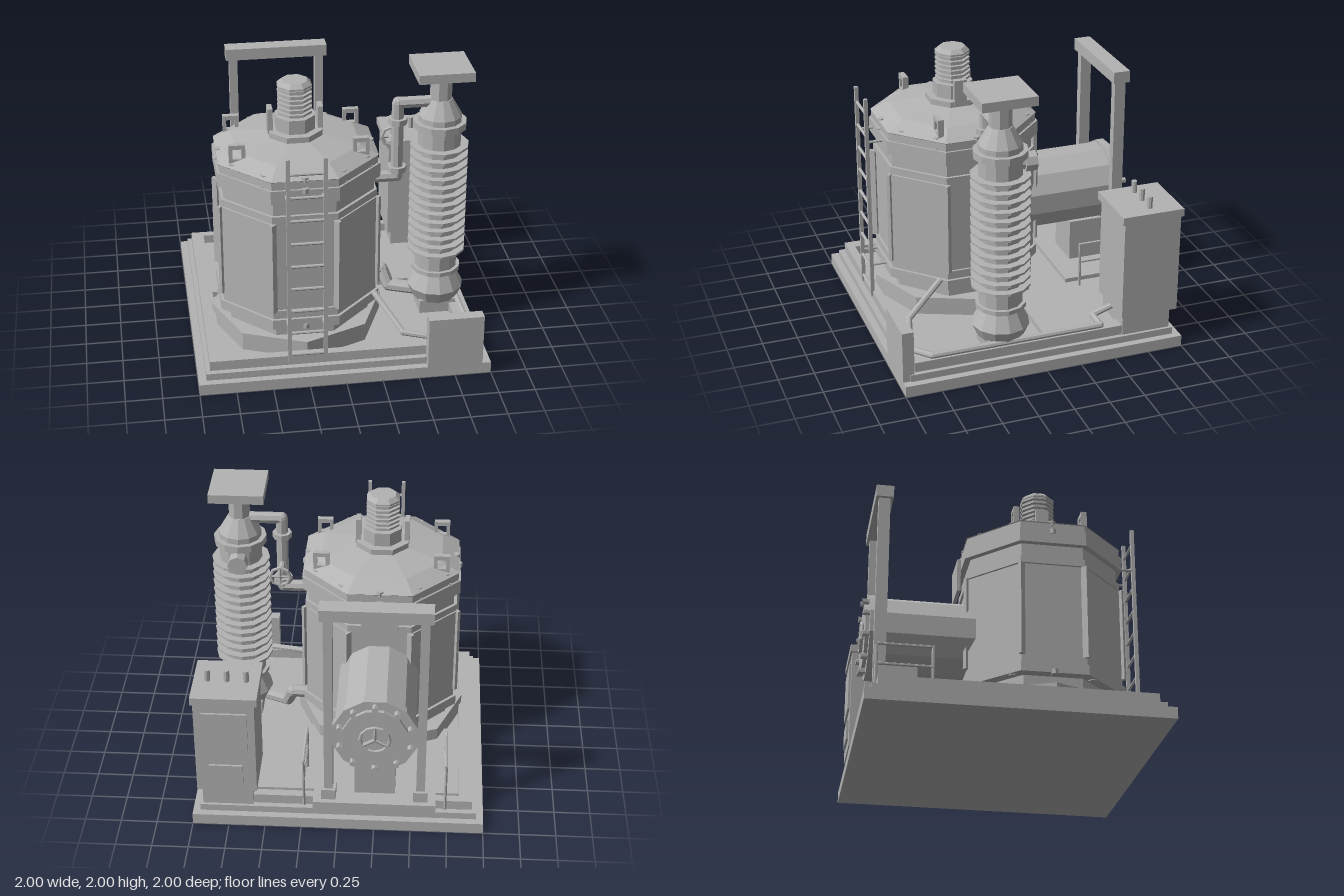
import * as THREE from 'three';

const grey = new THREE.MeshStandardMaterial({ color: 0xb3b3b3, flatShading: true });
grey.name = 'machineGrey';

export function createModel() {
  const root = new THREE.Group();
  root.name = 'transformerStation';

  // ---- helpers ----
  const group = (name, x = 0, y = 0, z = 0) => {
    const g = new THREE.Group();
    g.name = name;
    g.position.set(x, y, z);
    root.add(g);
    return g;
  };
  const mesh = (parent, name, geo, x = 0, y = 0, z = 0) => {
    const m = new THREE.Mesh(geo, grey);
    m.name = name;
    m.position.set(x, y, z);
    parent.add(m);
    return m;
  };
  // box from its min and max on each axis
  const box = (parent, name, x0, x1, y0, y1, z0, z1) =>
    mesh(parent, name, new THREE.BoxGeometry(x1 - x0, y1 - y0, z1 - z0), (x0 + x1) / 2, (y0 + y1) / 2, (z0 + z1) / 2);
  // faceted turned solid; flat = true puts face centres on the axes
  const turned = (parent, name, profile, sides, flat) => {
    const k = flat ? 1 / Math.cos(Math.PI / sides) : 1;
    const pts = profile.map(([r, y]) => new THREE.Vector2(r * k, y));
    return mesh(parent, name, new THREE.LatheGeometry(pts, sides, flat ? Math.PI / sides : 0));
  };
  // straight bar between two points
  const bar = (parent, name, a, b, r, sides = 8) => {
    const p = new THREE.Vector3(...a), q = new THREE.Vector3(...b);
    const d = q.clone().sub(p);
    const m = mesh(parent, name, new THREE.CylinderGeometry(r, r, d.length(), sides));
    m.position.copy(p).addScaledVector(d, 0.5);
    m.quaternion.setFromUnitVectors(new THREE.Vector3(0, 1, 0), d.normalize());
    return m;
  };
  // pipe with mitred corners
  const pipe = (parent, name, pts, r) => {
    for (let i = 1; i < pts.length; i++) {
      bar(parent, name, pts[i - 1], pts[i], r);
      if (i > 1) mesh(parent, name + 'Joint', new THREE.SphereGeometry(r, 8, 6), ...pts[i - 1]);
    }
  };

  // ---- stepped base with raised rim ----
  const base = group('base');
  box(base, 'slab', -1, 1, 0, 0.08, -1, 1);
  box(base, 'step', -0.95, 0.95, 0.08, 0.13, -0.95, 0.95);
  for (const s of [-1, 1]) {
    mesh(base, 'sideRim', new THREE.BoxGeometry(0.09, 0.07, 1.82), s * 0.875, 0.165, 0);
    mesh(base, 'endRim', new THREE.BoxGeometry(1.66, 0.07, 0.06), 0, 0.165, s * 0.88);
  }
  box(base, 'floorPanel', -0.83, 0.83, 0.13, 0.17, -0.79, -0.05);
  box(base, 'motorPlatform', -0.67, 0.17, 0.13, 0.2, -0.97, -0.46);
  box(base, 'cornerBox', 0.56, 0.94, 0.08, 0.45, 0.92, 1);

  // ---- octagonal tank ----
  const tank = group('tank', -0.25, 0, 0.25);
  turned(tank, 'tankFoot', [[0, 0.13], [0.6, 0.13], [0.6, 0.26], [0, 0.26]], 8, false);
  turned(tank, 'tankBody', [
    [0, 0.26], [0.48, 0.26], [0.48, 0.35], [0.55, 0.35], [0.55, 0.42], [0.53, 0.42], [0.53, 0.48], [0.515, 0.48],
    [0.515, 1.15], [0.53, 1.15], [0.53, 1.2], [0.51, 1.2], [0.51, 1.3], [0.55, 1.3], [0.55, 1.4], [0.535, 1.4],
    [0.535, 1.455], [0.54, 1.46], [0.42, 1.52], [0.18, 1.56], [0, 1.56],
  ], 8, true);
  turned(tank, 'neck', [[0.18, 1.55], [0.18, 1.6], [0.13, 1.6], [0.13, 1.7], [0, 1.7]], 8, true);
  const ribs = [[0.09, 1.7]];
  for (let i = 0; i < 6; i++) {
    const y = 1.715 + i * 0.034;
    ribs.push([0.09, y], [0.113, y], [0.113, y + 0.016], [0.09, y + 0.016]);
  }
  turned(tank, 'ribbedCap', [...ribs, [0.113, 1.905], [0.113, 1.918], [0.085, 1.945], [0, 1.945]], 8, true);
  for (const s of [-1, 1]) {
    mesh(tank, 'neckTab', new THREE.BoxGeometry(0.035, 0.18, 0.09), s * 0.17, 1.665, 0);
  }

  // bolts on lid and flanges
  for (let i = 0; i < 12; i++) {
    const a = i * Math.PI / 6;
    for (const [y, r] of [[1.46, 0.515], [1.39, 0.535], [0.36, 0.535]]) {
      const b = mesh(tank, 'bolt', new THREE.CylinderGeometry(0.027, 0.027, 0.035, 6), r * Math.sin(a), y, r * Math.cos(a));
      b.rotation.y = a;
    }
  }
  // plates with edge strips on the diagonal faces
  for (let i = 0; i < 4; i++) {
    const p = new THREE.Group();
    p.name = 'sidePanel';
    p.rotation.y = Math.PI / 4 + i * Math.PI / 2;
    tank.add(p);
    mesh(p, 'panelPlate', new THREE.BoxGeometry(0.44, 0.66, 0.02), 0, 0.81, 0.52);
    for (const s of [-1, 1]) mesh(p, 'panelStrip', new THREE.BoxGeometry(0.025, 0.67, 0.045), s * 0.225, 0.81, 0.53);
  }
  // lifting lugs with a square eye
  const lug = new THREE.Shape([[-0.055, 0], [0.055, 0], [0.055, 0.14], [-0.055, 0.14]].map(p => new THREE.Vector2(...p)));
  lug.holes.push(new THREE.Path([[-0.03, 0.04], [-0.03, 0.11], [0.03, 0.11], [0.03, 0.04]].map(p => new THREE.Vector2(...p))));
  const lugGeo = new THREE.ExtrudeGeometry(lug, { depth: 0.04, bevelEnabled: false });
  for (const sx of [-1, 1]) for (const sz of [-1, 1]) {
    mesh(tank, 'liftingLug', lugGeo, sx * 0.415, 1.465, sz * 0.235 - 0.02);
  }

  // ---- ladder ----
  const ladder = group('ladder', -0.255, 0, 0.91);
  for (const s of [-1, 1]) {
    box(ladder, 'rail', s * 0.122 - 0.013, s * 0.122 + 0.013, 0.16, 1.68, -0.013, 0.013);
    for (const y of [0.41, 1.36]) bar(ladder, 'bracket', [s * 0.122, y, 0], [s * 0.122, y, -0.14], 0.01);
  }
  for (let i = 0; i < 9; i++) bar(ladder, 'rung', [-0.12, 0.21 + i * 0.17, 0], [0.12, 0.21 + i * 0.17, 0], 0.011);

  // ---- tall insulator ----
  const ins = group('insulator', 0.75, 0, 0.25);
  box(ins, 'pedestal', -0.13, 0.13, 0.13, 0.23, -0.13, 0.13);
  const column = [[0, 0.22], [0.16, 0.22], [0.2, 0.31], [0.145, 0.42], [0.145, 0.44], [0.175, 0.44], [0.175, 0.47], [0.15, 0.47]];
  for (let i = 0; i < 13; i++) {
    const y = 0.6 + i * 0.0665;
    column.push([0.15, y], [0.205, y], [0.205, y + 0.016], [0.15, y + 0.016]);
  }
  column.push([0.15, 1.54], [0.185, 1.54], [0.185, 1.59], [0.15, 1.59], [0.15, 1.63], [0.08, 1.75], [0, 1.75]);
  turned(ins, 'column', column, 12, false);
  turned(ins, 'topNeck', [[0.07, 1.74], [0.07, 1.94]], 8, true);
  box(ins, 'topPlate', -0.19, 0.19, 1.935, 2, -0.19, 0.19);
  bar(ins, 'sidePort', [0, 1.47, -0.1], [0, 1.47, -0.22], 0.05, 8);
  bar(ins, 'sidePortFlange', [0, 1.47, -0.16], [0, 1.47, -0.24], 0.07, 8);

  // ---- connecting pipes and valve ----
  const piping = group('piping');
  pipe(piping, 'upperPipe', [[0.2, 1.18, 0.25], [0.455, 1.18, 0.25], [0.455, 1.73, 0.25], [0.72, 1.73, 0.25]], 0.042);
  for (const y of [1.24, 1.6]) bar(piping, 'pipeFlange', [0.455, y - 0.02, 0.25], [0.455, y + 0.02, 0.25], 0.068);
  bar(piping, 'valveStem', [0.455, 1.38, 0.25], [0.455, 1.38, 0.04], 0.02);
  mesh(piping, 'handWheel', new THREE.TorusGeometry(0.07, 0.013, 6, 8), 0.455, 1.38, 0.04);
  for (let i = 0; i < 4; i++) {
    const a = i * Math.PI / 2;
    bar(piping, 'wheelSpoke', [0.455, 1.38, 0.04], [0.455 + 0.07 * Math.cos(a), 1.38 + 0.07 * Math.sin(a), 0.04], 0.009, 6);
  }
  pipe(piping, 'drainPipe', [[0.2, 0.36, 0.1], [0.39, 0.36, 0.1], [0.43, 0.25, 0.15], [0.6, 0.25, 0.22]], 0.045);
  pipe(piping, 'floorConduit', [
    [0.26, 0.42, 0.52], [0.42, 0.25, 0.8], [0.76, 0.22, 0.9], [0.895, 0.22, 0.78],
    [0.895, 0.22, -0.43], [0.745, 0.22, -0.43], [0.745, 0.27, -0.58],
  ], 0.022);

  // ---- horizontal drum on the back of the tank ----
  const drum = group('drum', -0.25, 0.755, 0);
  const shell = turned(drum, 'drumShell', [
    [0.27, -0.2], [0.27, 0.88], [0.285, 0.88], [0.285, 0.94], [0.22, 0.94], [0.22, 0.965], [0, 0.965],
  ], 12, true);
  shell.rotation.x = -Math.PI / 2;
  for (let i = 0; i < 10; i++) {
    const a = i * Math.PI / 5, x = 0.25 * Math.sin(a), y = 0.25 * Math.cos(a);
    bar(drum, 'drumBolt', [x, y, -0.93], [x, y, -0.985], 0.022, 6);
  }
  mesh(drum, 'hatchWheel', new THREE.TorusGeometry(0.1, 0.012, 6, 12), 0, 0, -0.975);
  for (let i = 0; i < 3; i++) {
    const a = i * Math.PI * 2 / 3;
    bar(drum, 'hatchSpoke', [0, 0, -0.975], [0.1 * Math.sin(a), 0.1 * Math.cos(a), -0.975], 0.012, 6);
  }
  box(drum, 'drumSaddle', -0.14, 0.14, -0.56, -0.25, -0.85, -0.6);
  box(root, 'namePlate', -0.38, -0.13, 1.1, 1.34, -0.34, -0.315);

  // ---- lifting gantry over the drum ----
  const gantry = group('gantry', -0.25, 0, -0.875);
  box(gantry, 'crossBeam', -0.37, 0.37, 1.655, 1.74, -0.06, 0.06);
  for (const s of [-1, 1]) {
    box(gantry, 'post', s * 0.315 - 0.03, s * 0.315 + 0.03, 0.2, 1.66, -0.04, 0.04);
    box(gantry, 'postFoot', s * 0.315 - 0.05, s * 0.315 + 0.05, 0.13, 0.28, -0.06, 0.06);
  }

  // ---- hand rails beside the drum ----
  for (const x of [-0.735, 0.235]) {
    const rail = group('handRail', x, 0, 0);
    for (const z of [-0.91, -0.54]) bar(rail, 'railPost', [0, 0.13, z], [0, 0.5, z], 0.011, 6);
    for (const y of [0.36, 0.5]) bar(rail, 'railBar', [0, y, -0.92], [0, y, -0.53], 0.011, 6);
  }

  // ---- control cabinet ----
  const cabinet = group('cabinet');
  box(cabinet, 'plinth', 0.58, 0.93, 0.13, 0.28, -0.93, -0.58);
  box(cabinet, 'cabinetBody', 0.55, 0.96, 0.28, 1.01, -0.97, -0.56);
  box(cabinet, 'cabinetLid', 0.53, 0.975, 1, 1.055, -0.985, -0.54);
  box(cabinet, 'upperDoor', 0.6, 0.91, 0.58, 0.93, -0.985, -0.965);
  box(cabinet, 'lowerDoor', 0.64, 0.87, 0.36, 0.5, -0.985, -0.965);
  for (let i = 0; i < 3; i++) {
    const x = 0.62 + i * 0.13;
    bar(cabinet, 'terminal', [x, 1.05, -0.77], [x, 1.14, -0.77], 0.02);
  }
  return root;
}
